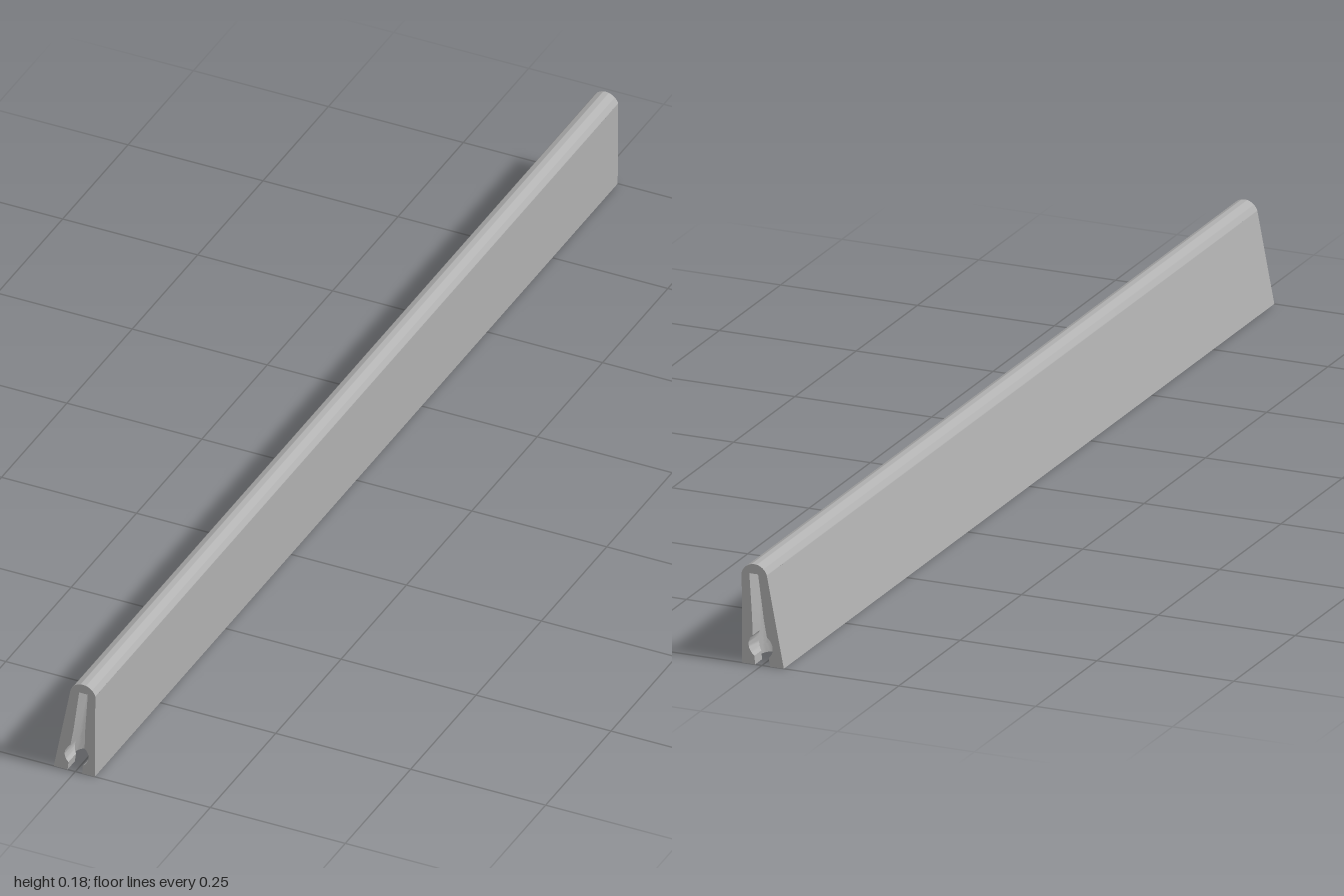
import * as THREE from 'three';
import { toCreasedNormals } from 'three/addons/utils/BufferGeometryUtils.js';

const ROOF = 0.16;      // height where the end slots stop
const BODY_END = 0.9;   // the solid core runs between -BODY_END and BODY_END
const mix = (a, b, y) => a + (b - a) * y / ROOF;
const leftX = y => mix(-0.04, -0.009, y);
const rightX = y => mix(0.036, 0.037, y);

function extrudeAlong(shape, halfLength) {
  const g = new THREE.ExtrudeGeometry(shape, { depth: 2 * halfLength, bevelEnabled: false, curveSegments: 24 });
  g.translate(0, 0, -halfLength);
  return toCreasedNormals(g, 0.5);
}

// Horizontal section of an end block: a tapered round pocket opening through a slot
function endSection(y, s) {
  const cx = mix(-0.001, 0.015, y), cz = 0.95;
  const R = mix(0.026, 0.012, y);
  const d = Math.abs(y - 0.033);
  const bore = Math.sqrt(Math.max(0, 0.022 ** 2 - d * d)); // round bore through the end face
  const w = Math.min(0.97 * R, Math.max(mix(0.0135, 0.008, y), bore));
  const pts = [[leftX(y), BODY_END], [leftX(y), 1], [cx - w, 1]];
  const a0 = Math.asin(w / R), n = 28;
  for (let i = 0; i <= n; i++) {
    const t = a0 + (2 * Math.PI - 2 * a0) * i / n;
    pts.push([cx - R * Math.sin(t), cz + R * Math.cos(t)]);
  }
  pts.push([cx + w, 1], [rightX(y), 1], [rightX(y), BODY_END]);
  return pts.map(([x, z]) => new THREE.Vector2(x, z * s));
}

// Stack the sections upwards and close the underside
function endBlock(s) {
  const ys = [0];
  for (let i = 0; i <= 14; i++) ys.push(0.033 - 0.0176 * Math.cos(Math.PI * i / 14));
  ys.push(0.08, 0.12, ROOF);
  const rows = ys.map(y => endSection(y, s));
  const n = rows[0].length, pos = [], index = [];
  rows.forEach((row, j) => row.forEach(p => pos.push(p.x, ys[j], p.y)));
  const tri = (a, b, c) => (s > 0 ? index.push(a, b, c) : index.push(a, c, b));
  for (let j = 0; j < rows.length - 1; j++) {
    for (let i = 0; i < n - 1; i++) {
      const a = j * n + i, b = a + 1;
      tri(a, b, b + n);
      tri(a, b + n, a + n);
    }
  }
  const base = rows[0];
  for (const [a, b, c] of THREE.ShapeUtils.triangulateShape(base, [])) {
    const turn = base[b].clone().sub(base[a]).cross(base[c].clone().sub(base[a]));
    if (turn > 0) index.push(a, b, c); else index.push(a, c, b);
  }
  const g = new THREE.BufferGeometry();
  g.setAttribute('position', new THREE.Float32BufferAttribute(pos, 3));
  g.setIndex(index);
  return toCreasedNormals(g, 0.5);
}

export function createModel() {
  const grey = new THREE.MeshStandardMaterial({ color: 0xb0b0b0 });
  grey.name = 'grey';
  const group = new THREE.Group();
  group.name = 'slottedBar';
  const add = (name, geometry) => {
    const m = new THREE.Mesh(geometry, grey);
    m.name = name;
    group.add(m);
  };

  // Solid tapered core
  const core = new THREE.Shape();
  core.moveTo(leftX(0), 0);
  core.lineTo(rightX(0), 0);
  core.lineTo(rightX(ROOF), ROOF);
  core.lineTo(leftX(ROOF), ROOF);
  core.closePath();
  add('barCore', extrudeAlong(core, BODY_END));

  // Rounded ridge over the full length, also the roof of both slots
  const ridge = new THREE.Shape();
  const a = Math.asin((ROOF - 0.153) / 0.024);
  ridge.absarc(0.014, 0.153, 0.024, a, Math.PI - a, false);
  ridge.closePath();
  add('roundedRidge', extrudeAlong(ridge, 1));

  // Slotted ends
  add('frontSlottedEnd', endBlock(1));
  add('backSlottedEnd', endBlock(-1));
  return group;
}
